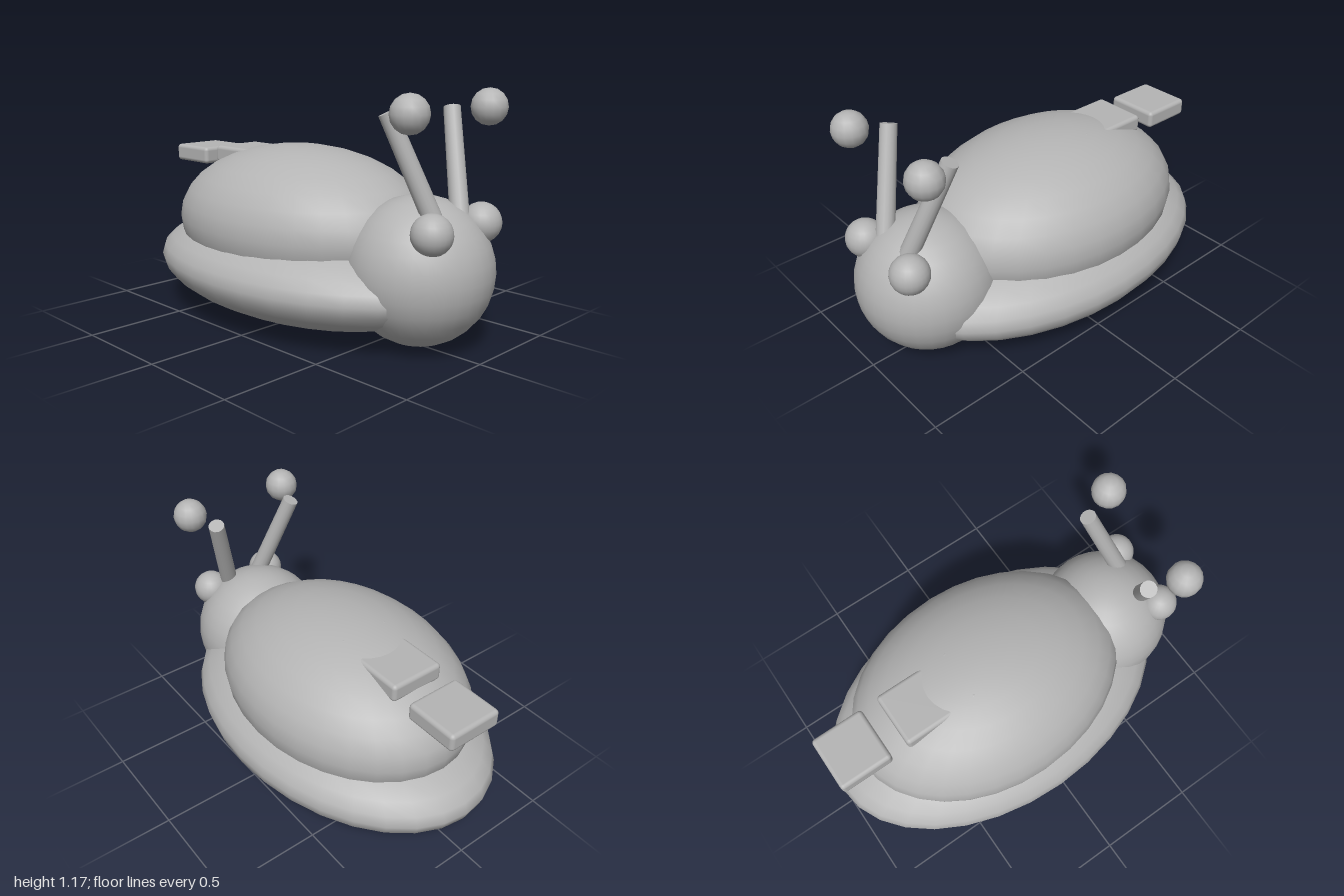
import * as THREE from 'three';
import { RoundedBoxGeometry } from 'three/addons/geometries/RoundedBoxGeometry.js';

export function createModel() {
  const model = new THREE.Group();
  model.name = 'snail';
  const grey = new THREE.MeshStandardMaterial({ color: 0xb4b4b4 });
  grey.name = 'plain grey';

  const add = (name, geometry, position) => {
    const mesh = new THREE.Mesh(geometry, grey);
    mesh.name = name;
    mesh.position.set(...position);
    model.add(mesh);
    return mesh;
  };

  // Sphere stretched to the given radii
  const ellipsoid = (name, radii, position, segments = 32) => {
    const geometry = new THREE.SphereGeometry(1, segments, segments / 2).scale(...radii);
    return add(name, geometry, position);
  };

  // Large rounded forms
  ellipsoid('body', [0.615, 0.26, 0.938], [0, 0.265, -0.062]);
  ellipsoid('shell', [0.537, 0.385, 0.737], [0, 0.48, -0.104]);
  ellipsoid('head', [0.344, 0.344, 0.344], [0, 0.36, 0.656]);

  // Eyes, feelers and the balls beside their tips, mirrored
  for (const [side, s] of [['left', 1], ['right', -1]]) {
    ellipsoid(side + 'Eye', [0.092, 0.092, 0.092], [s * 0.18, 0.583, 0.86], 24);
    ellipsoid(side + 'FeelerBall', [0.085, 0.085, 0.085], [s * 0.283, 1.087, 0.812], 16);

    const base = new THREE.Vector3(s * 0.06, 0.5, 0.842);
    const tip = new THREE.Vector3(s * 0.228, 1.08, 0.648);
    const axis = tip.clone().sub(base);
    const middle = base.clone().add(tip).multiplyScalar(0.5);
    const feeler = add(side + 'Feeler',
      new THREE.CylinderGeometry(0.04, 0.046, axis.length(), 16), middle.toArray());
    feeler.quaternion.setFromUnitVectors(new THREE.Vector3(0, 1, 0), axis.normalize());
  }

  // Row of plates along the back; the front one is sunk in the shell
  for (let i = 0; i < 3; i++) {
    add('backPlate' + (i + 1), new RoundedBoxGeometry(0.28, 0.09, 0.27, 3, 0.02),
      [0, 0.757 + i * 0.022, -0.848 + i * 0.357]);
  }

  return model;
}
